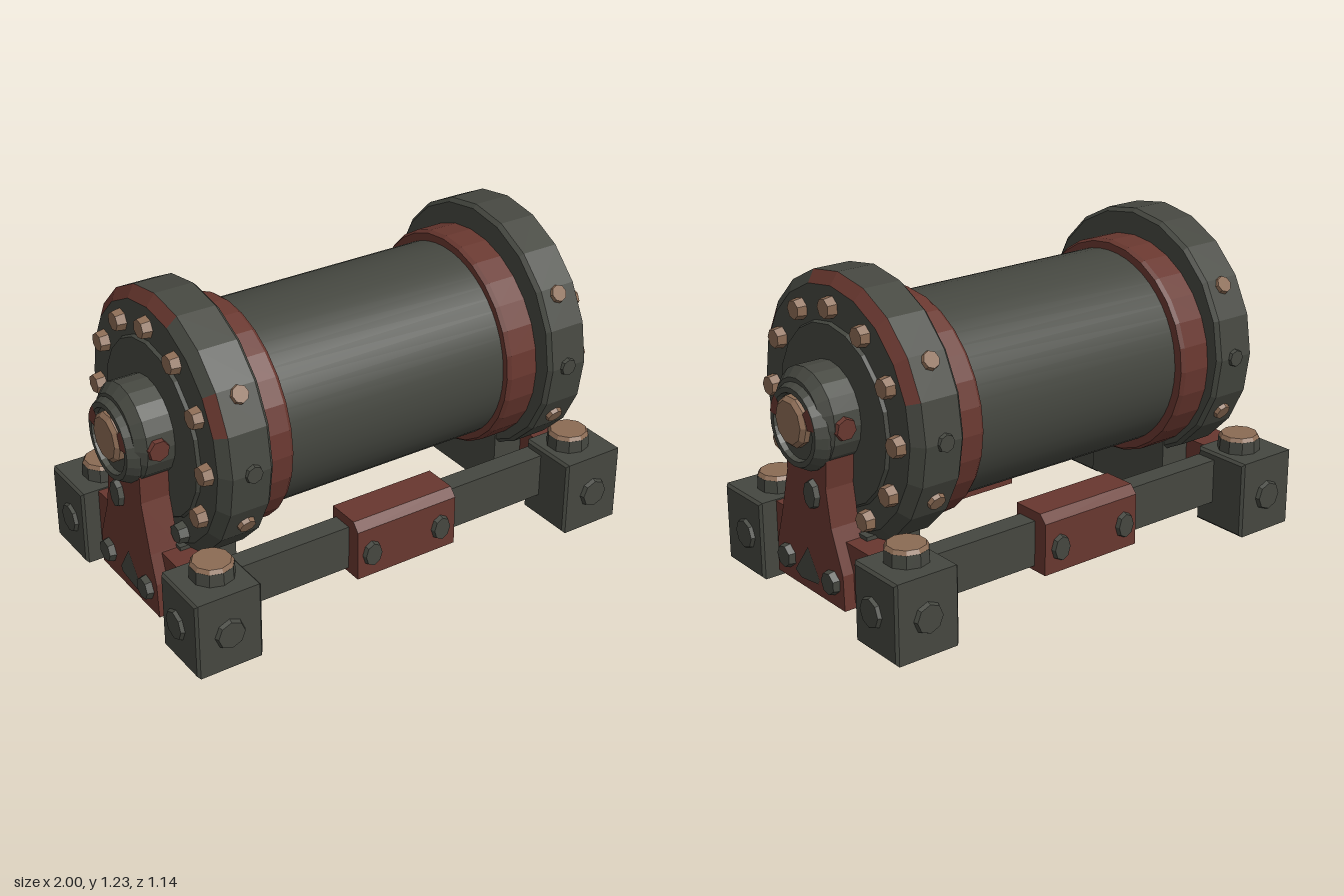
import * as THREE from 'three';

const material = (name, color) => {
  const m = new THREE.MeshStandardMaterial({ color });
  m.name = name;
  return m;
};

// Faceted copy of a geometry
function flat(geo) {
  const g = geo.index ? geo.toNonIndexed() : geo;
  g.computeVertexNormals();
  return g;
}

// Mirror across x = 0 and turn the triangles round again
function mirrorX(geo) {
  const g = geo.clone().scale(-1, 1, 1);
  const p = g.attributes.position;
  const a = new THREE.Vector3(), b = new THREE.Vector3();
  for (let i = 0; i < p.count; i += 3) {
    a.fromBufferAttribute(p, i + 1);
    b.fromBufferAttribute(p, i + 2);
    p.setXYZ(i + 1, b.x, b.y, b.z);
    p.setXYZ(i + 2, a.x, a.y, a.z);
  }
  g.computeVertexNormals();
  return g;
}

// Turned part along x; profile is [radius, x]; angles in degrees
function turned(profile, sides, cy, cz, from = 0, sweep = 360) {
  const pts = profile.map(([r, x]) => new THREE.Vector2(r, x));
  const g = new THREE.LatheGeometry(pts, sides, THREE.MathUtils.degToRad(from), THREE.MathUtils.degToRad(sweep));
  return g.rotateZ(-Math.PI / 2).translate(0, cy, cz);
}

const outline = (pts) => new THREE.Shape(pts.map(([z, y]) => new THREE.Vector2(-z, y)));

// Solid with a [z, y] outline running from x0 to x1
function prism(pts, x0, x1, bevel = 0) {
  return new THREE.ExtrudeGeometry(outline(pts), {
    depth: x1 - x0 - 2 * bevel, bevelEnabled: bevel > 0, bevelThickness: bevel,
    bevelSize: bevel, bevelOffset: -bevel, bevelSegments: 1,
  }).rotateY(Math.PI / 2).translate(x0 + bevel, 0, 0);
}

const rect = (z0, z1, y0, y1) => [[z0, y0], [z1, y0], [z1, y1], [z0, y1]];

// Bolt head standing on a point and facing along dir
function bolt(pos, dir, r, h, sides = 7, stretch = 1) {
  const up = new THREE.Vector3(0, 1, 0);
  const q = new THREE.Quaternion().setFromUnitVectors(up, new THREE.Vector3(...dir).normalize());
  const g = new THREE.CylinderGeometry(r * 0.8, r, h + 0.02, sides).translate(0, h / 2 - 0.01, 0);
  return g.applyQuaternion(q).scale(1, stretch, 1).translate(pos[0], pos[1] + 0, pos[2]);
}

export function createModel() {
  const iron = material('dark iron', 0x454740);
  const red = material('worn red paint', 0x68372f);
  const bronze = material('bronze', 0x8b6b54);

  const model = new THREE.Group();
  model.name = 'drum machine';

  const add = (parent, name, geo, mat) => {
    const mesh = new THREE.Mesh(geo, mat);
    mesh.name = name;
    parent.add(mesh);
  };

  // Smooth drum between the two ends
  add(model, 'drum', new THREE.CylinderGeometry(0.39, 0.39, 1.24, 48, 1)
    .rotateZ(Math.PI / 2).translate(0, 0.7, 0.01), iron);

  for (const s of [1, -1]) {
    const end = new THREE.Group();
    end.name = s > 0 ? 'leftEnd' : 'rightEnd';
    model.add(end);
    const put = (name, geo, mat) => {
      const g = flat(geo);
      add(end, name, s > 0 ? g : mirrorX(g), mat);
    };

    // Painted band
    put('drumBand', turned([[0.38, 0.475], [0.42, 0.475], [0.43, 0.49], [0.43, 0.61]], 28, 0.7, 0.005), red);

    // Flange with a partly painted bevel
    const fy = 0.733, fz = 0.015;
    put('flange', turned([[0, 0.605], [0.485, 0.605], [0.5, 0.62], [0.5, 0.772]], 20, fy, fz), iron);
    put('flangeFace', turned([[0.455, 0.805], [0, 0.805]], 20, fy, fz), iron);
    const bevel = [[198, 90, red], [288, 36, iron], [324, 18, red], [342, 216, iron]];
    for (const [from, sweep, mat] of bevel) {
      put('flangeBevel', turned([[0.5, 0.772], [0.455, 0.805]], sweep / 18, fy, fz, from, sweep), mat);
    }
    put('endDisc', turned([[0.345, 0.8], [0.335, 0.818], [0, 0.818]], 20, 0.715, 0.015), iron);

    // Ring of face bolts, open at the bottom where the pedestal stands
    for (let i = -5; i <= 5; i++) {
      const a = i * Math.PI / 6;
      const pos = [0.805, 0.718 + 0.395 * Math.cos(a), 0.013 + 0.392 * Math.sin(a)];
      put('faceBolt', bolt(pos, [1, 0, 0], 0.045, 0.036), i === 5 ? iron : bronze);
    }

    // Bolts on the flange rim
    for (const side of [1, -1]) {
      for (const deg of [33, 0, -28]) {
        const a = deg * Math.PI / 180;
        const dir = [0, Math.sin(a), side * Math.cos(a)];
        const pos = [0.69, fy + dir[1] * 0.492, fz + dir[2] * 0.492];
        put('rimBolt', bolt(pos, dir, 0.04, 0.018, 8), deg === 0 ? iron : bronze);
      }
    }

    // Bearing hub, lipped ring and shaft nut
    put('hub', turned([[0.185, 0.8], [0.185, 0.925], [0.15, 0.96], [0, 0.96]], 20, 0.735, 0.015), iron);
    put('hubRing', turned([[0.16, 0.88], [0.167, 0.945], [0.145, 0.985], [0.125, 0.985], [0.12, 0.965], [0, 0.965]],
      24, 0.71, 0.01), iron);
    put('hubPaint', turned([[0.143, 0.987], [0.1, 0.987]], 3, 0.71, 0.01, 320, 32), red);
    put('hubPaint', turned([[0.143, 0.987], [0.1, 0.987]], 3, 0.71, 0.01, 190, 34), red);
    put('shaftNut', turned([[0.095, 0.95], [0.095, 0.985], [0.08, 1.0], [0, 1.0]], 10, 0.73, 0.015), bronze);
    for (const side of [1, -1]) {
      put('hubSideBolt', bolt([0.885, 0.735, 0.015 + side * 0.175], [0, 0, side], 0.05, 0.022), red);
    }

    // Pedestal plate, its chipped patch and bolts
    put('pedestal', prism([[0.235, 0.065], [-0.205, 0.065], [-0.2, 0.2], [-0.135, 0.36], [-0.11, 0.5],
      [-0.12, 0.62], [0.14, 0.62], [0.14, 0.5], [0.19, 0.31], [0.225, 0.2]], 0.82, 0.935), red);
    put('pedestalChip', new THREE.ShapeGeometry(outline([[0.11, 0.115], [0.07, 0.095], [-0.04, 0.11],
      [-0.05, 0.13], [0.02, 0.235]])).rotateY(Math.PI / 2).translate(0.938, 0, 0), iron);
    put('pedestalBolt', bolt([0.935, 0.155, 0.155], [1, 0, 0], 0.052, 0.025), iron);
    put('pedestalBolt', bolt([0.935, 0.155, -0.135], [1, 0, 0], 0.052, 0.025), iron);
    put('pedestalOvalBolt', bolt([0.935, 0.46, -0.03], [1, 0, 0], 0.046, 0.02, 8, 1.4), iron);

    // Saddle under the flange and the cross beam
    put('saddle', prism(rect(-0.2, 0.22, 0.067, 0.32), 0.6, 0.83), iron);
    put('crossBeam', prism(rect(-0.33, 0.33, 0.085, 0.305), 0.73, 0.89), red);

    // Corner feet
    for (const side of [1, -1]) {
      const z = side * 0.43;
      put('footBlock', prism(rect(z - 0.125, z + 0.125, 0, 0.31), 0.692, 0.96, 0.01), iron);
      put('footCollar', new THREE.CylinderGeometry(0.082, 0.085, 0.06, 10).translate(0.81, 0.33, side * 0.412), iron);
      put('footCap', new THREE.CylinderGeometry(0.072, 0.082, 0.016, 10).translate(0.81, 0.367, side * 0.412), bronze);
      put('footFrontBolt', bolt([0.828, 0.15, side * 0.555], [0, 0, side], 0.068, 0.016, 8), iron);
      put('footSideBolt', bolt([0.96, 0.155, side * 0.412], [1, 0, 0], 0.068, 0.014, 8), iron);
    }
  }

  // Long rails with their painted clamps
  for (const side of [1, -1]) {
    const rail = new THREE.Group();
    rail.name = side > 0 ? 'frontRail' : 'backRail';
    model.add(rail);
    add(rail, 'railBeam', flat(prism(rect(side * 0.31, side * 0.395, 0.1, 0.28), -0.7, 0.7)), iron);
    const clamp = [[0.29, 0.08], [0.455, 0.08], [0.455, 0.285], [0.425, 0.318], [0.29, 0.318]];
    add(rail, 'railClamp', flat(prism(clamp.map(([z, y]) => [side * z, y]), -0.22, 0.225)), red);
    for (const x of [-0.158, 0.155]) {
      add(rail, 'clampBolt', flat(bolt([x, 0.178, side * 0.455], [0, 0, side], 0.045, 0.018, 8, 1.3)), iron);
    }
  }
  return model;
}
